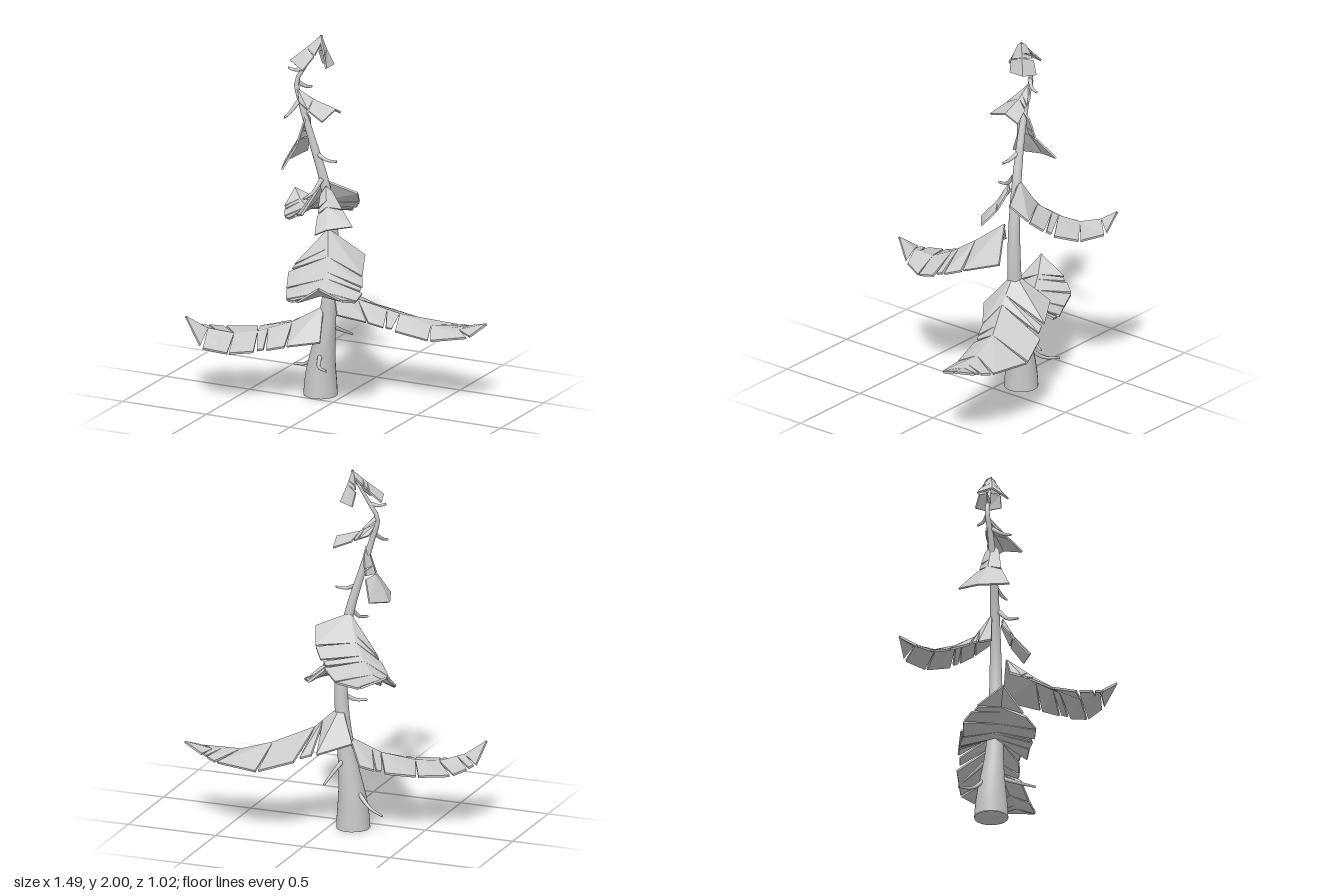
import * as THREE from 'three';

const material = new THREE.MeshStandardMaterial({ color: 0xcccccc, side: THREE.DoubleSide });
const flat = new THREE.MeshStandardMaterial({ color: 0xcccccc, side: THREE.DoubleSide, flatShading: true });
const vec = (p) => new THREE.Vector3(...p);

function addMesh(parent, name, geometry, mat) {
  const mesh = new THREE.Mesh(geometry, mat);
  mesh.name = name;
  parent.add(mesh);
  return mesh;
}

// Round tube along a curve whose radius follows a rule of u
function taperedTube(points, radiusAt, segments, sides) {
  const curve = new THREE.CatmullRomCurve3(points.map(vec));
  const geo = new THREE.TubeGeometry(curve, segments, 1, sides, false);
  const pos = geo.attributes.position;
  const v = new THREE.Vector3();
  for (let i = 0; i <= segments; i++) {
    const centre = curve.getPointAt(i / segments);
    for (let j = 0; j <= sides; j++) {
      const k = i * (sides + 1) + j;
      v.fromBufferAttribute(pos, k).sub(centre).multiplyScalar(radiusAt(i / segments)).add(centre);
      pos.setXYZ(k, v.x, Math.max(v.y, 0), v.z);
    }
  }
  return geo;
}

// Thin plate through four corners, extruded downward along its normal
function addPanel(out, a, b, c, d, thickness) {
  const n = c.clone().sub(a).cross(d.clone().sub(b)).normalize();
  if (n.y > 0) n.negate();
  const top = [a, b, c, d];
  const low = top.map((p) => p.clone().addScaledVector(n, thickness));
  const quad = (p, q, r, s) => [p, q, r, p, r, s].forEach((w) => out.push(w.x, w.y, w.z));
  quad(...top);
  quad(low[3], low[2], low[1], low[0]);
  for (let i = 0; i < 4; i++) {
    const j = (i + 1) % 4;
    quad(top[j], top[i], low[i], low[j]);
  }
}

// Folded frond: each row is [ridge, one edge, other edge]; slits divide the wings
function frondGeometry(rows, thickness) {
  const out = [];
  const pts = rows.map((r) => r.map(vec));
  for (const side of [1, 2]) {
    for (let i = 0; i < pts.length - 1; i++) {
      const s0 = pts[i][0], s1 = pts[i + 1][0];
      const e0 = pts[i][side], e1 = pts[i + 1][side];
      const isLast = i === pts.length - 2;
      const start = i === 0 ? 0 : 0.03 + 0.05 * ((i + side) % 2);
      const end = isLast ? 1 : 0.96;
      const o0 = e0.clone().lerp(e1, start), o1 = e0.clone().lerp(e1, end);
      // some panels carry a short tooth beside the slit
      if ((i + side) % 3 === 2 && !isLast) {
        const sm = s0.clone().lerp(s1, 0.7);
        addPanel(out, s0, sm, e0.clone().lerp(e1, 0.64), o0, thickness);
        addPanel(out, sm, s1, s1.clone().lerp(o1, 0.93), sm.clone().lerp(e0.clone().lerp(e1, 0.75), 0.95), thickness);
      } else addPanel(out, s0, s1, o1, o0, thickness);
    }
  }
  const geo = new THREE.BufferGeometry();
  geo.setAttribute('position', new THREE.Float32BufferAttribute(out, 3));
  geo.computeVertexNormals();
  return geo;
}

// Row with all three points meeting at the tip
const tip = (...p) => [p, p, p];

const largeFronds = {
  lowerLeftFrond: [
    [[-0.06, 0.68, -0.1], [0.04, 0.5, 0.03], [-0.18, 0.52, -0.25]],
    [[0.08, 0.55, -0.13], [0.17, 0.45, -0.07], [0.08, 0.44, -0.4]],
    [[0.28, 0.47, -0.23], [0.29, 0.41, -0.12], [0.28, 0.38, -0.47]],
    [[0.45, 0.42, -0.26], [0.49, 0.37, -0.16], [0.53, 0.39, -0.43]],
    [[0.6, 0.41, -0.29], [0.69, 0.4, -0.22], [0.62, 0.41, -0.39]],
    tip(0.74, 0.45, -0.34),
  ],
  lowerRightFrond: [
    [[-0.1, 0.5, -0.08], [-0.04, 0.35, 0.08], [-0.22, 0.4, -0.24]],
    [[-0.25, 0.41, -0.01], [-0.2, 0.33, 0.17], [-0.33, 0.36, -0.19]],
    [[-0.41, 0.36, 0.08], [-0.33, 0.31, 0.26], [-0.49, 0.33, -0.09]],
    [[-0.52, 0.35, 0.14], [-0.46, 0.3, 0.33], [-0.65, 0.33, -0.01]],
    [[-0.64, 0.38, 0.21], [-0.61, 0.31, 0.34], [-0.74, 0.36, 0.11]],
    tip(-0.74, 0.45, 0.27),
  ],
  frontFrond: [
    [[-0.05, 0.95, -0.04], [0.12, 0.8, -0.14], [-0.15, 0.82, 0.03]],
    [[0.02, 0.84, 0.1], [0.2, 0.74, 0.05], [-0.19, 0.75, 0.15]],
    [[0.07, 0.76, 0.22], [0.27, 0.7, 0.18], [-0.14, 0.69, 0.27]],
    [[0.11, 0.72, 0.32], [0.28, 0.68, 0.28], [-0.08, 0.67, 0.39]],
    [[0.14, 0.74, 0.42], [0.25, 0.71, 0.38], [0.03, 0.7, 0.48]],
    tip(0.17, 0.8, 0.5),
  ],
  backFrond: [
    [[-0.11, 1.2, -0.1], [0.06, 1.13, -0.17], [-0.22, 1.0, -0.05]],
    [[-0.17, 1.06, -0.17], [0.02, 1.05, -0.27], [-0.3, 0.96, -0.13]],
    [[-0.25, 0.99, -0.25], [-0.06, 0.97, -0.36], [-0.38, 0.91, -0.22]],
    [[-0.33, 0.95, -0.33], [-0.17, 0.93, -0.46], [-0.44, 0.89, -0.29]],
    [[-0.41, 0.96, -0.41], [-0.32, 0.93, -0.51], [-0.48, 0.92, -0.36]],
    tip(-0.47, 1.0, -0.47),
  ],
};

const smallFronds = {
  middleFrond: [
    [[-0.07, 1.18, -0.05], [-0.04, 1.15, -0.07], [-0.1, 1.13, -0.04]],
    [[-0.04, 1.08, 0], [0.03, 1.06, -0.05], [-0.08, 1.04, 0.03]],
    [[0, 0.98, 0.08], [0.11, 0.99, -0.01], [-0.06, 0.95, 0.1]],
  ],
  upperRightFrond: [
    [[-0.19, 1.57, -0.06], [-0.19, 1.53, -0.02], [-0.19, 1.53, -0.1]],
    [[-0.24, 1.42, -0.06], [-0.22, 1.4, 0.01], [-0.21, 1.42, -0.13]],
    [[-0.33, 1.28, -0.08], [-0.27, 1.28, 0.08], [-0.27, 1.31, -0.22]],
  ],
  upperLeftFrond: [
    [[-0.24, 1.7, -0.05], [-0.21, 1.64, -0.01], [-0.21, 1.64, -0.09]],
    [[-0.15, 1.65, -0.06], [-0.14, 1.61, 0.02], [-0.13, 1.61, -0.12]],
    [[-0.02, 1.61, -0.07], [-0.04, 1.57, 0.05], [-0.03, 1.57, -0.15]],
  ],
  crownFrontFrond: [
    [[-0.12, 2.0, -0.1], [-0.11, 1.97, -0.08], [-0.14, 1.97, -0.12]],
    [[-0.19, 1.93, -0.06], [-0.13, 1.9, -0.03], [-0.22, 1.9, -0.11]],
    [[-0.27, 1.86, -0.02], [-0.17, 1.83, 0.03], [-0.29, 1.84, -0.1]],
  ],
  crownBackFrond: [
    [[-0.12, 2.0, -0.1], [-0.11, 1.98, -0.08], [-0.14, 1.98, -0.12]],
    [[-0.1, 1.92, -0.12], [-0.08, 1.9, -0.06], [-0.16, 1.9, -0.15]],
    [[-0.07, 1.83, -0.15], [-0.07, 1.83, -0.06], [-0.15, 1.82, -0.18]],
  ],
};

const twigPaths = [
  [[-0.1, 0.23, -0.04], [-0.06, 0.2, 0.05], [0.01, 0.2, 0.1]],
  [[-0.16, 0.21, -0.12], [-0.24, 0.14, -0.15], [-0.33, 0.115, -0.19]],
  [[-0.08, 0.38, -0.12], [-0.06, 0.34, -0.2], [-0.04, 0.29, -0.3]],
  [[-0.07, 0.73, -0.08], [-0.12, 0.7, -0.05], [-0.18, 0.7, -0.03]],
  [[-0.1, 1.21, -0.06], [-0.12, 1.15, 0], [-0.14, 1.13, 0.07]],
  [[-0.14, 1.35, -0.07], [-0.07, 1.32, -0.06], [-0.01, 1.32, -0.06]],
  [[-0.22, 1.64, -0.04], [-0.24, 1.59, 0.03], [-0.25, 1.57, 0.08]],
  [[-0.24, 1.73, -0.06], [-0.21, 1.7, -0.1], [-0.2, 1.69, -0.14]],
  [[-0.21, 1.81, -0.07], [-0.25, 1.8, -0.05], [-0.29, 1.81, -0.04]],
];

export function createModel() {
  const model = new THREE.Group();
  model.name = 'bentPineTree';

  // Leaning trunk, flared at the foot and kinked near the crown
  const trunkPath = [
    [-0.125, 0, -0.095], [-0.12, 0.15, -0.095], [-0.085, 0.42, -0.095], [-0.06, 0.68, -0.1],
    [-0.06, 0.95, -0.1], [-0.1, 1.2, -0.085], [-0.16, 1.42, -0.065], [-0.22, 1.62, -0.055],
    [-0.25, 1.73, -0.06], [-0.2, 1.83, -0.075], [-0.12, 1.98, -0.1],
  ];
  const trunkRadius = (u) => 0.047 * (1 - u) + 0.006 + 0.038 * Math.exp(-((u / 0.14) ** 2));
  addMesh(model, 'trunk', taperedTube(trunkPath, trunkRadius, 48, 24), material);
  const base = addMesh(model, 'trunkBase', new THREE.CircleGeometry(0.09, 24), material);
  base.rotation.x = Math.PI / 2;
  base.position.set(-0.125, 0.001, -0.095);

  // Fronds
  for (const [name, rows] of Object.entries(largeFronds)) addMesh(model, name, frondGeometry(rows, 0.012), flat);
  for (const [name, rows] of Object.entries(smallFronds)) addMesh(model, name, frondGeometry(rows, 0.01), flat);

  // Bare twigs
  const twigs = new THREE.Group();
  twigs.name = 'twigs';
  for (const path of twigPaths) addMesh(twigs, 'twig', taperedTube(path, (u) => 0.013 - 0.007 * u, 8, 8), material);
  model.add(twigs);
  return model;
}
